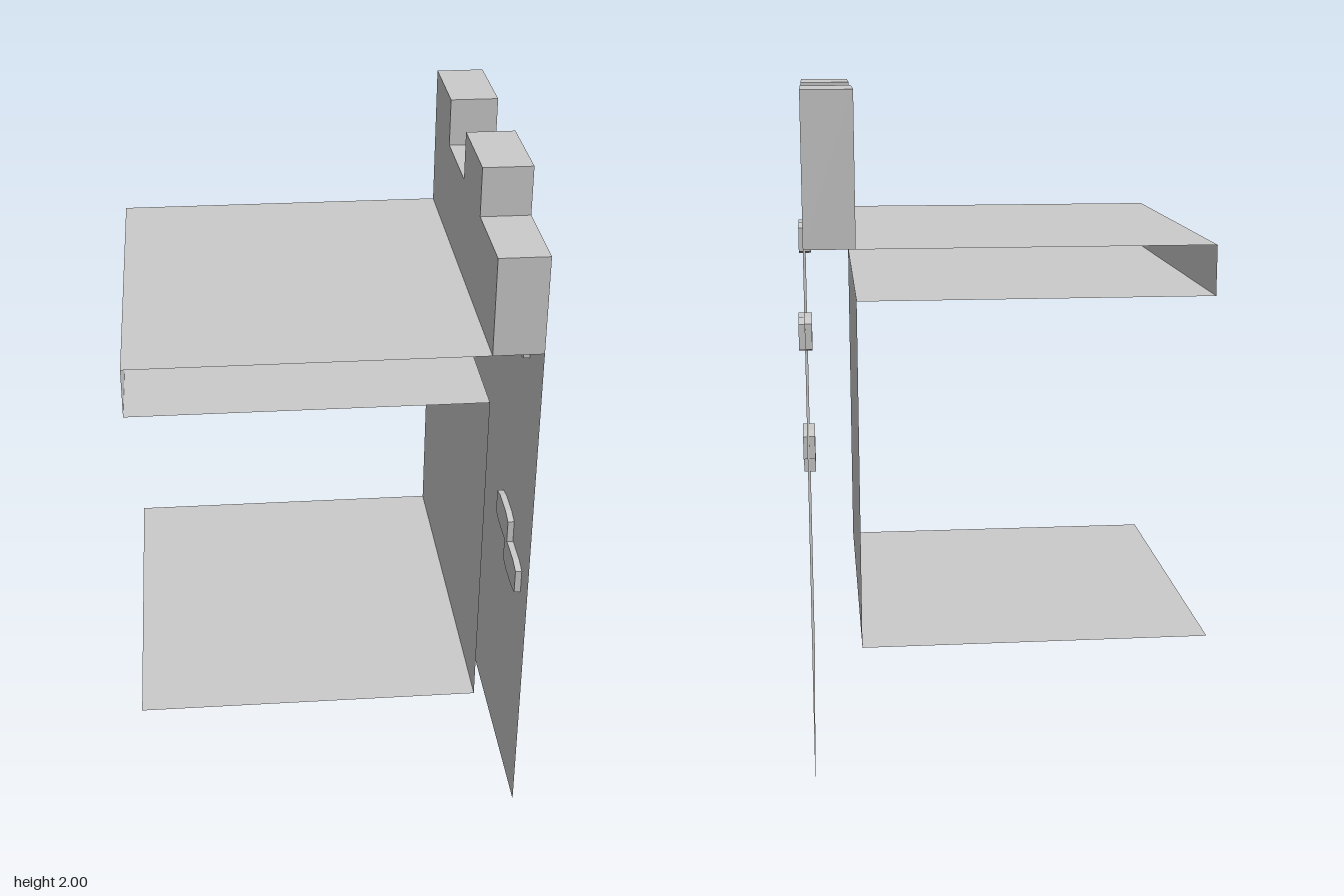
import * as THREE from 'three';

const U = 1 / 7;            // building unit: the tile is 8 units deep, 14 high
const OUT = 0.562;          // outer wall face
const IN = OUT - U;         // inner wall face
const END = IN - 7 * U;     // free end of floor and walkway
const DEPTH = 8 * U;

const material = new THREE.MeshStandardMaterial({
  color: 0xcccccc, flatShading: true, side: THREE.DoubleSide,
});

function add(group, name, geometry, x, y, z) {
  const mesh = new THREE.Mesh(geometry, material);
  mesh.name = name;
  mesh.position.set(x, y, z);
  group.add(mesh);
}

// Horizontal sheet from END to IN at height y; dir = 1 faces up, -1 faces down
function sheet(group, name, y, dir) {
  const g = new THREE.PlaneGeometry(IN - END, DEPTH).rotateX(-dir * Math.PI / 2);
  add(group, name, g, (IN + END) / 2, y, 0);
}

// Upright sheet at x between two heights; dir = 1 faces +x, -1 faces -x
function upright(group, name, x, y0, y1, dir) {
  const g = new THREE.PlaneGeometry(DEPTH, y1 - y0).rotateY(dir * Math.PI / 2);
  add(group, name, g, x, (y0 + y1) / 2, 0);
}

// Outline in (-z, y), extruded along +x
function extrudeX(points, thickness) {
  const shape = new THREE.Shape(points.map(([a, b]) => new THREE.Vector2(a, b)));
  return new THREE.ExtrudeGeometry(shape, { depth: thickness, bevelEnabled: false })
    .rotateY(Math.PI / 2);
}

export function createModel() {
  const model = new THREE.Group();
  model.name = 'castleWallTile';

  // Parapet with two merlons
  const outline = [
    [-4, 11], [4, 11], [4, 14], [2, 14], [2, 13], [0, 13],
    [0, 14], [-2, 14], [-2, 13], [-4, 13],
  ].map(([a, b]) => [a * U, b * U]);
  add(model, 'parapet', extrudeX(outline, U), IN, 0, 0);

  // Hollow wall, open at its ends and foot
  upright(model, 'outerWall', OUT, 0, 11 * U, 1);
  upright(model, 'innerWall', IN, 3 * U, 10 * U, -1);

  // Floor and hollow walkway
  sheet(model, 'floor', 3 * U, 1);
  sheet(model, 'walkwayTop', 11 * U, 1);
  sheet(model, 'walkwayUnderside', 10 * U, -1);
  upright(model, 'walkwayEnd', END, 10 * U, 11 * U, -1);

  // Raised bricks passing through the outer wall
  const brick = extrudeX([
    [-0.093, -0.037], [-0.045, -0.048], [0.045, -0.048], [0.093, -0.037],
    [0.093, 0.037], [0.045, 0.048], [-0.045, 0.048], [-0.093, 0.037],
  ], 0.038);
  for (const [z, y] of [[0.298, 1.505], [-0.273, 1.296], [0.235, 0.844], [0.384, 0.764]]) {
    add(model, 'brick', brick, OUT - 0.019, y, z);
  }
  return model;
}
